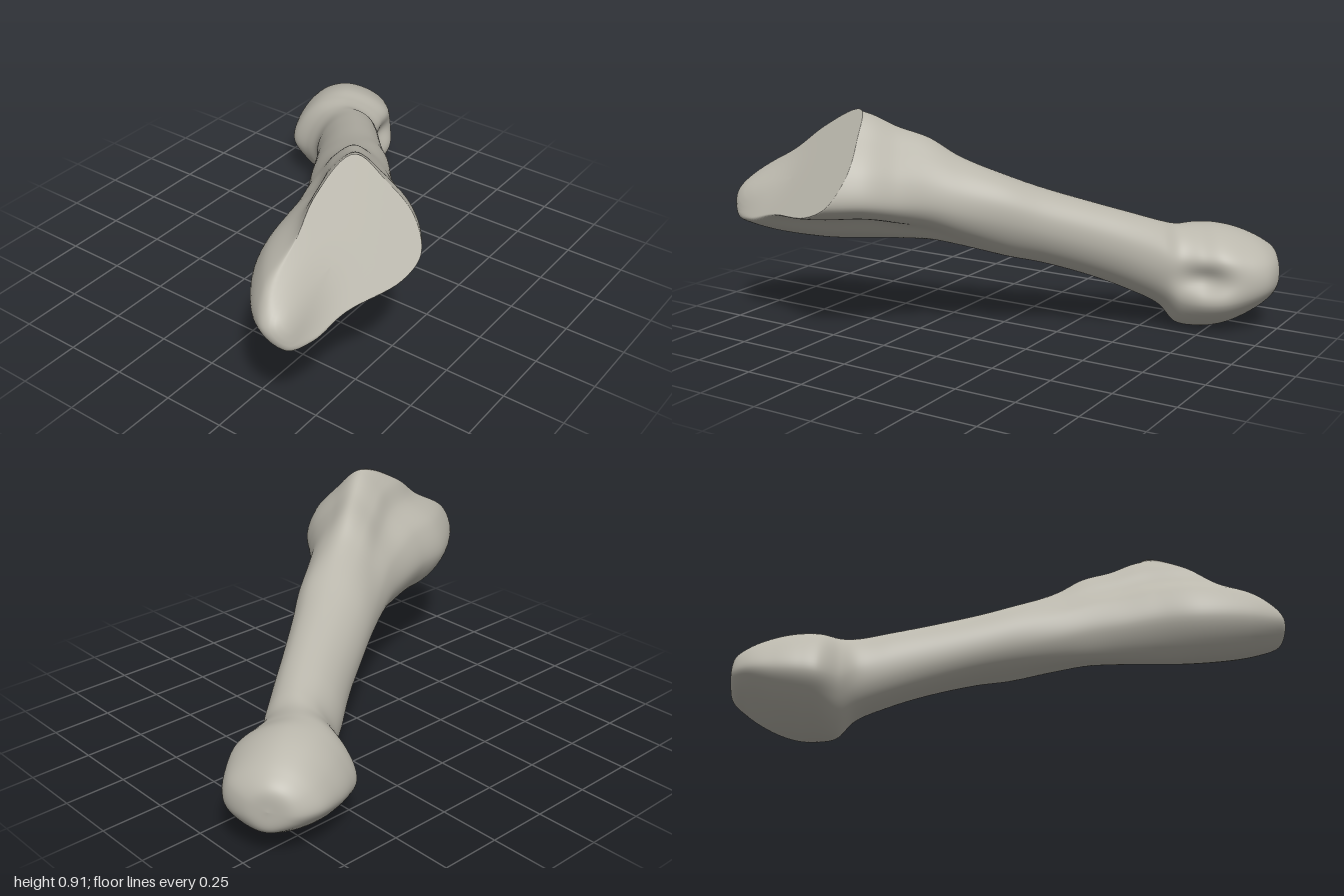
import * as THREE from 'three';

// Cross-section outlines in a unit box: [side, up], anticlockwise
const OVAL = Array.from({ length: 12 }, (_, i) => [Math.cos(i * Math.PI / 6 - .2), Math.sin(i * Math.PI / 6)]);
const BASE = [[1, -.2], [.9, .2], [.52, .65], [.1, 1], [-.26, .72], [-.46, .38],
  [-.85, .02], [-1, -.5], [-.64, -1], [-.2, -.87], [.15, -.58], [.8, -.4]];
const HEAD = [[1, 0], [.88, .45], [.5, .82], [0, 1], [-.45, .87], [-.82, .47],
  [-1, -.08], [-.8, -.45], [-.4, -.8], [.08, -1], [.47, -.9], [.93, -.42]];

// Stations along the bone: distance, side min/max, height min/max, base weight, head weight
const STATIONS = [
  [-1.12, .04, .04, .23, .23, 0, 1],
  [-1.11, -.06, .13, .15, .31, 0, 1],
  [-1.05, -.13, .22, .1, .36, 0, 1],
  [-.95, -.17, .26, .042, .405, 0, 1],
  [-.86, -.19, .275, .012, .425, 0, 1],
  [-.78, -.19, .25, .002, .425, 0, 1],
  [-.7, -.125, .21, .015, .425, 0, .8],
  [-.63, -.08, .2, .09, .445, 0, .35],
  [-.5, -.07, .205, .155, .485, 0, .05],
  [-.35, -.062, .214, .215, .53, 0, 0],
  [-.15, -.066, .232, .275, .592, 0, 0],
  [0, -.07, .25, .307, .648, 0, 0],
  [.18, -.08, .263, .34, .725, .35, 0],
  [.3, -.095, .275, .355, .8, .65, 0],
  [.42, -.125, .315, .36, .845, .85, 0],
  [.55, -.165, .36, .36, .905, 1, 0],
  [.72, -.225, .365, .355, .91, 1, 0],
  [.92, -.222, .34, .385, .87, 1, 0],
  [1.04, -.19, .29, .425, .8, 1, 0],
  [1.12, -.14, .24, .47, .75, 1, 0],
  [1.25, .05, .05, .63, .63, 1, 0],
];

// Smooth bump over an oval patch
const bump = (u, u0, ru, v, v0, rv) => Math.exp(-(((u - u0) / ru) ** 2) - ((v - v0) / rv) ** 2);

function softMin(a, b, k) {
  const h = Math.max(k - Math.abs(a - b), 0) / k;
  return Math.min(a, b) - h * h * k / 4;
}

// End the base in a flat slanted joint face with a rounded lobe low on one side
function cutFace(p) {
  const lobe = bump(p.x, -.1, .1, p.y, .55, .1);
  const face = (.97 - .441 * p.x - .58 * p.y) / .691;
  p.z = softMin(p.z, face + .075 * lobe, .03 + .07 * lobe);
}

// Hollow on the side of the head
function dentHead(p) {
  p.x -= .055 * bump(p.z, -.8, .1, p.y, .23, .06) * THREE.MathUtils.smoothstep(p.x, .08, .2);
}

function boneGeometry(rows, cols) {
  // Smooth lengthwise curves through the matching points of every station
  const rails = OVAL.map((oval, i) => new THREE.CatmullRomCurve3(
    STATIONS.map(([a, s0, s1, y0, y1, base, head]) => {
      const mix = k => oval[k] * (1 - base - head) + BASE[i][k] * base + HEAD[i][k] * head;
      return new THREE.Vector3(
        (s0 + s1) / 2 + mix(0) * (s1 - s0) / 2,
        (y0 + y1) / 2 + mix(1) * (y1 - y0) / 2, a);
    })));

  const position = [], index = [];
  for (let r = 0; r <= rows; r++) {
    const ring = new THREE.CatmullRomCurve3(rails.map(c => c.getPoint(r / rows)), true);
    for (let c = 0; c < cols; c++) {
      const p = ring.getPoint(c / cols);
      cutFace(p);
      dentHead(p);
      // Turn the bone diagonally in plan
      position.push(.555 * p.z + .832 * p.x, p.y, .832 * p.z - .555 * p.x);
      if (r < rows) {
        const n = (c + 1) % cols, q = r * cols, t = q + cols;
        index.push(q + c, q + n, t + n, q + c, t + n, t + c);
      }
    }
  }
  const g = new THREE.BufferGeometry();
  g.setAttribute('position', new THREE.Float32BufferAttribute(position, 3));
  g.setIndex(index);
  g.computeVertexNormals();
  return g;
}

export function createModel() {
  const group = new THREE.Group();
  group.name = 'footBone';
  const material = new THREE.MeshStandardMaterial({ color: 0xbab7ac });
  material.name = 'bone grey';

  // One continuous surface: rounded head, slim shaft and flat-faced base
  const bone = new THREE.Mesh(boneGeometry(160, 96), material);
  bone.name = 'bone';
  group.add(bone);
  return group;
}
